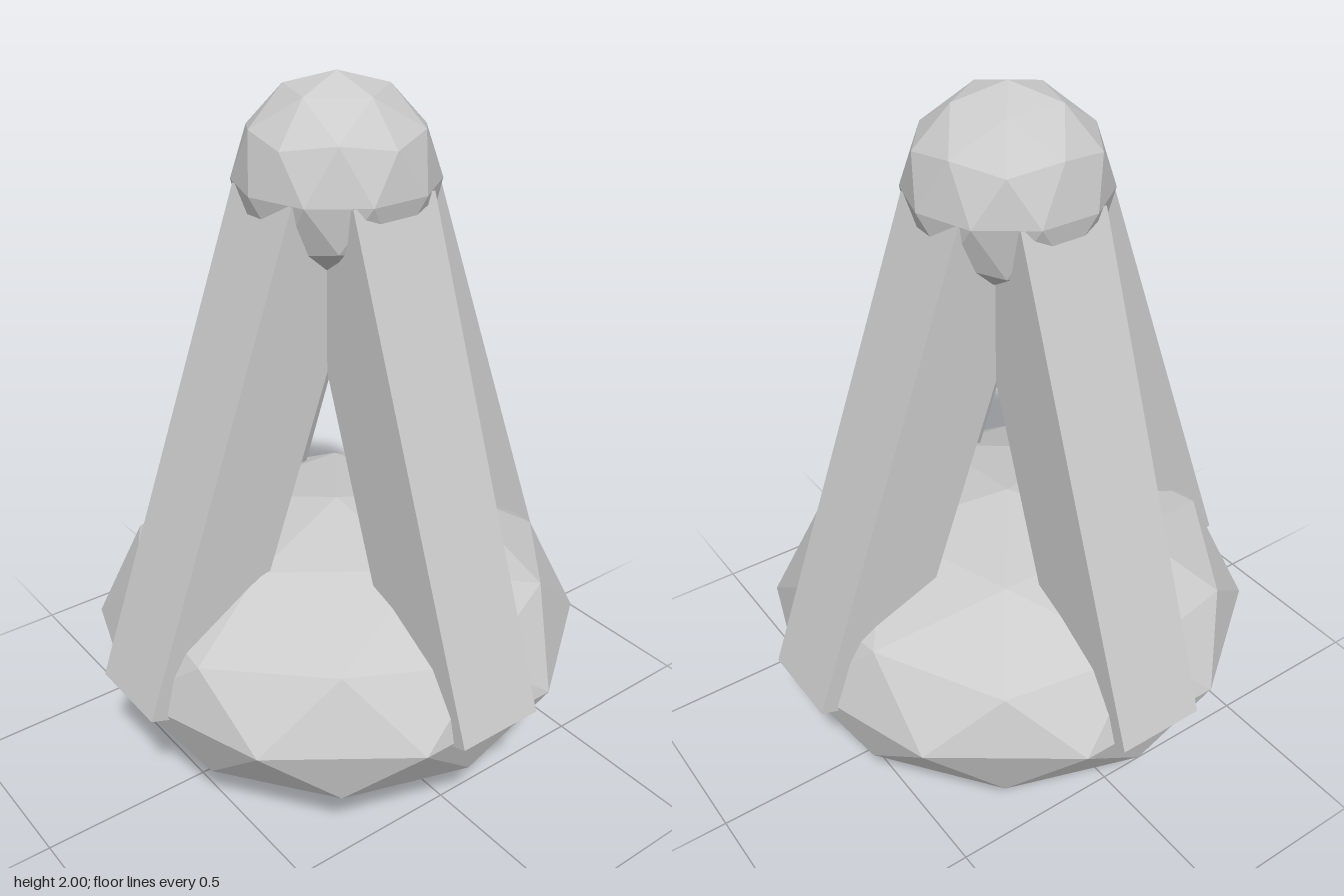
import * as THREE from 'three';

const material = new THREE.MeshStandardMaterial({ color: 0xcccccc, flatShading: true });

// Icosahedral ball standing on a pole, each face split in four
function createBall(name, radius, height, centerY) {
  const vertices = [0, 1, 0];
  const faces = [];
  const h = Math.sqrt(0.2), r = 2 * h;
  for (let i = 0; i < 5; i++) {
    const a = i * Math.PI * 0.4, b = a + Math.PI * 0.2;
    vertices.push(r * Math.cos(a), h, -r * Math.sin(a), r * Math.cos(b), -h, -r * Math.sin(b));
    const upper = 1 + 2 * i, lower = upper + 1;
    const nextUpper = 1 + 2 * ((i + 1) % 5), nextLower = nextUpper + 1;
    faces.push(0, upper, nextUpper, upper, lower, nextUpper);
    faces.push(lower, nextLower, nextUpper, 11, nextLower, lower);
  }
  vertices.push(0, -1, 0);
  const geometry = new THREE.PolyhedronGeometry(vertices, faces, 1, 1);
  geometry.scale(radius, height / 2, radius);
  const ball = new THREE.Mesh(geometry, material);
  ball.name = name;
  ball.position.y = centerY;
  return ball;
}

export function createModel() {
  const model = new THREE.Group();
  model.name = 'tower';

  // Squashed base and round top
  model.add(createBall('base', 0.715, 0.772, 0.386));
  model.add(createBall('topBall', 0.275, 0.55, 1.725));

  // Four square legs leaning in towards the top
  const legGeometry = new THREE.BoxGeometry(0.26, 1.42, 0.26);
  ['frontLeg', 'leftLeg', 'backLeg', 'rightLeg'].forEach((name, i) => {
    const pivot = new THREE.Group();
    pivot.name = name;
    pivot.rotation.y = i * Math.PI / 2;
    const leg = new THREE.Mesh(legGeometry, material);
    leg.name = name + 'Beam';
    leg.position.set(0, 1.013, 0.357);
    leg.rotation.x = -THREE.MathUtils.degToRad(20);
    pivot.add(leg);
    model.add(pivot);
  });

  return model;
}
